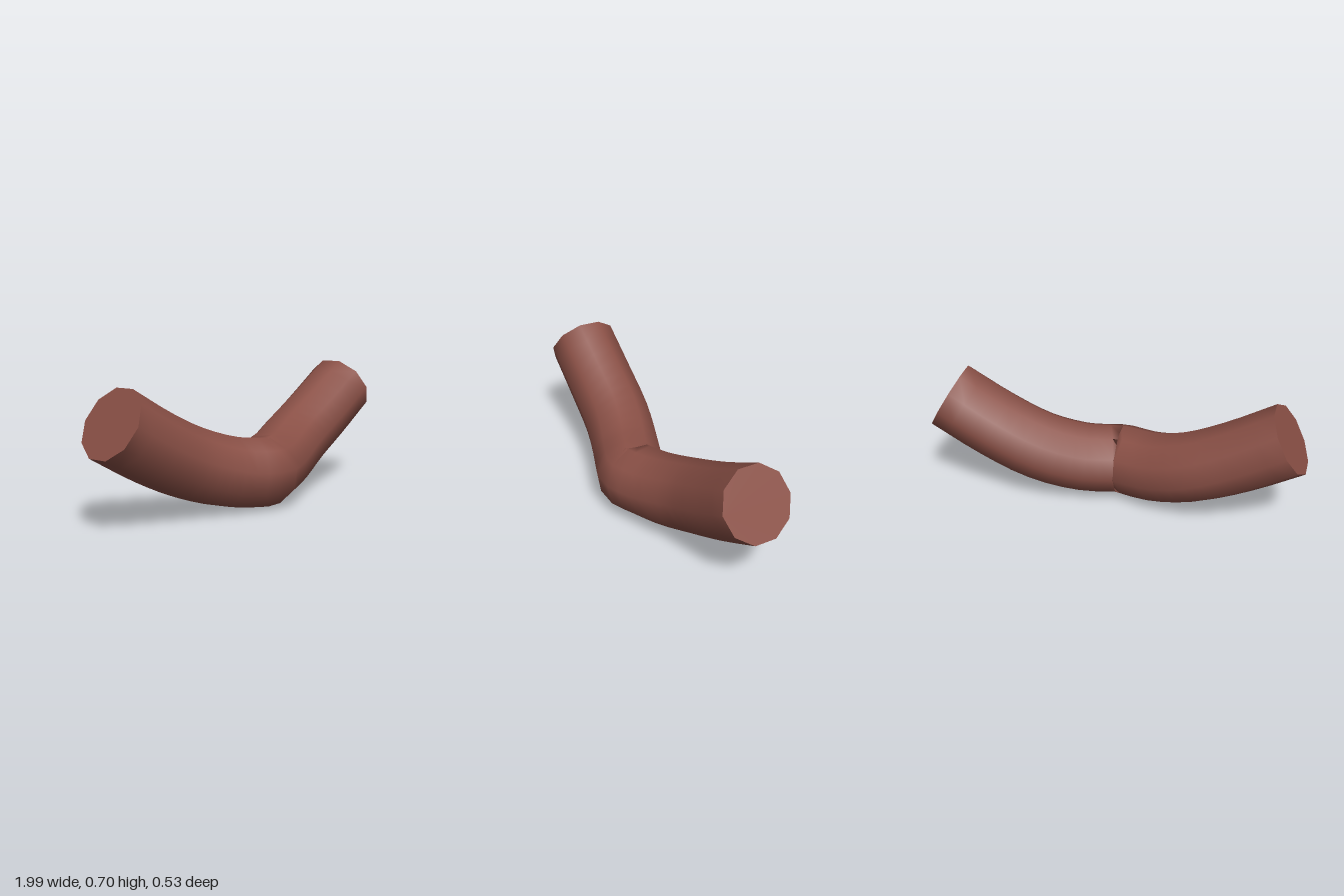
import * as THREE from 'three';

const SIDES = 10, STEPS = 12, RADIUS = 0.19;

export function createModel() {
  const group = new THREE.Group();
  const material = new THREE.MeshStandardMaterial({ color: 0x8a5046 });

  // Centre line of the left half, from the bend to the tip
  const path = new THREE.CatmullRomCurve3([
    new THREE.Vector3(0, 0.19, 0.08),
    new THREE.Vector3(0.2, 0.214, 0.01),
    new THREE.Vector3(0.42, 0.287, -0.05),
    new THREE.Vector3(0.65, 0.398, -0.07),
    new THREE.Vector3(0.905, 0.547, -0.079),
  ]);

  // Ten-sided cross-sections with a slight twist towards the bend
  const half = [];
  for (let i = 0; i <= STEPS; i++) {
    const t = i / STEPS;
    const centre = path.getPoint(t), tangent = path.getTangent(t);
    const u = new THREE.Vector3(0, 0, 1).addScaledVector(tangent, -tangent.z).normalize();
    const v = new THREE.Vector3().crossVectors(u, tangent);
    const twist = THREE.MathUtils.degToRad(7 - 6 * t);
    const ring = [];
    for (let j = 0; j < SIDES; j++) {
      const a = twist + (j / SIDES) * Math.PI * 2;
      ring.push(centre.clone()
        .addScaledVector(u, RADIUS * Math.cos(a))
        .addScaledVector(v, RADIUS * Math.sin(a)));
    }
    half.push(ring);
  }

  // Both halves meet in a crease at the middle
  const mirrored = half.map(ring => ring.map(p => new THREE.Vector3(-p.x, p.y, p.z))).reverse();
  const rings = [...mirrored, ...half];
  const index = [];
  for (let i = 0; i < rings.length - 1; i++) {
    for (let j = 0; j < SIDES; j++) {
      const k = (j + 1) % SIDES;
      const a = i * SIDES + j, b = a + SIDES, c = i * SIDES + k, d = c + SIDES;
      index.push(a, b, c, b, d, c);
    }
  }
  const bodyGeometry = new THREE.BufferGeometry().setFromPoints(rings.flat());
  bodyGeometry.setIndex(index);
  bodyGeometry.computeVertexNormals();
  const body = new THREE.Mesh(bodyGeometry, material);
  body.name = 'sausageBody';
  group.add(body);

  // Flat cut ends
  const addCap = (ring, name, flip) => {
    const faces = [];
    for (let j = 1; j < SIDES - 1; j++) faces.push(0, flip ? j : j + 1, flip ? j + 1 : j);
    const geometry = new THREE.BufferGeometry().setFromPoints(ring);
    geometry.setIndex(faces);
    geometry.computeVertexNormals();
    const cap = new THREE.Mesh(geometry, material);
    cap.name = name;
    group.add(cap);
  };
  addCap(rings[rings.length - 1], 'leftEnd', false);
  addCap(rings[0], 'rightEnd', true);

  return group;
}
